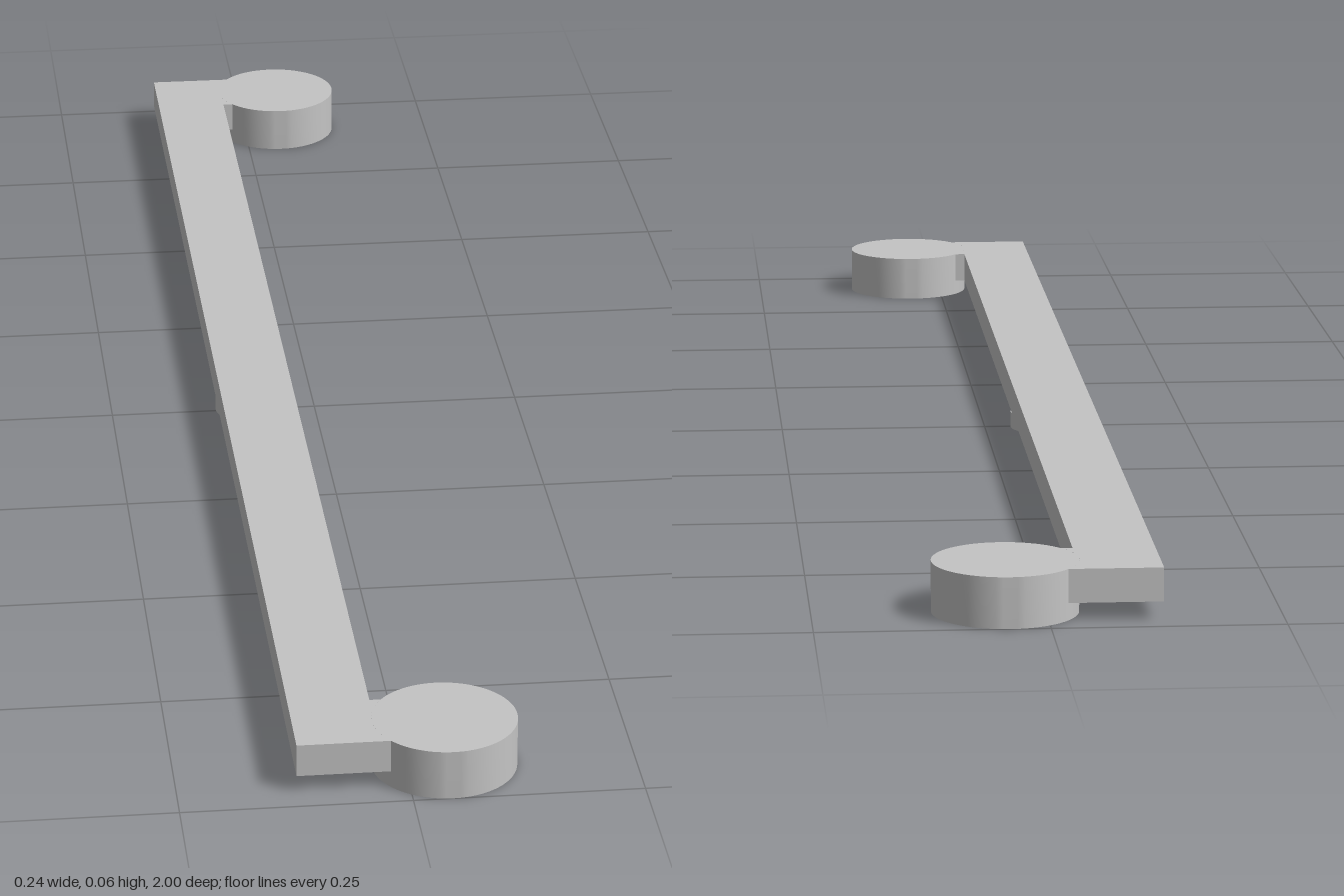
import * as THREE from 'three';
import { toCreasedNormals } from 'three/addons/utils/BufferGeometryUtils.js';

const TOP = 0.056, BASE = 0.019;      // upper and lower face of the bar
const KNOB_X = 0.043, KNOB_Z = 0.921, KNOB_R = 0.079;
const PEG_R = 0.045;

export function createModel() {
  const group = new THREE.Group();
  const grey = new THREE.MeshStandardMaterial({ color: 0xc4c4c4 });
  grey.name = 'grey';

  const add = (name, geometry, x, y, z) => {
    const mesh = new THREE.Mesh(geometry, grey);
    mesh.name = name;
    mesh.position.set(x, y, z);
    group.add(mesh);
  };

  // Long flat bar with a short tab at each end, hollowed to meet the round knobs
  const half = Math.asin(0.047 / KNOB_R);
  const outline = new THREE.Shape();
  outline.moveTo(-0.122, 0.968);
  outline.lineTo(-0.122, -0.968);
  outline.absarc(KNOB_X, -KNOB_Z, KNOB_R, Math.PI + half, Math.PI - half, true);
  outline.lineTo(-0.033, -0.874);
  outline.lineTo(-0.033, 0.874);
  outline.absarc(KNOB_X, KNOB_Z, KNOB_R, Math.PI + half, Math.PI - half, true);
  outline.closePath();
  const bar = new THREE.ExtrudeGeometry(outline, {
    depth: TOP - BASE, bevelEnabled: false, curveSegments: 16,
  });
  bar.rotateX(Math.PI / 2);
  add('bar', bar, 0, TOP, 0);

  // Round end knobs with a blind socket underneath
  const profile = [
    [0, 0.037], [PEG_R, 0.037], [PEG_R, 0], [KNOB_R, 0], [KNOB_R, TOP], [0, TOP],
  ].map(([r, y]) => new THREE.Vector2(r, y));
  const knob = toCreasedNormals(new THREE.LatheGeometry(profile, 64), 0.5);
  for (const [name, side] of [['frontKnob', 1], ['backKnob', -1]]) {
    add(name, knob, KNOB_X, 0, side * KNOB_Z);
  }

  // Small round peg under the middle of the bar
  add('peg', new THREE.CylinderGeometry(PEG_R, PEG_R, BASE, 48), -0.077, BASE / 2, -0.004);

  return group;
}
